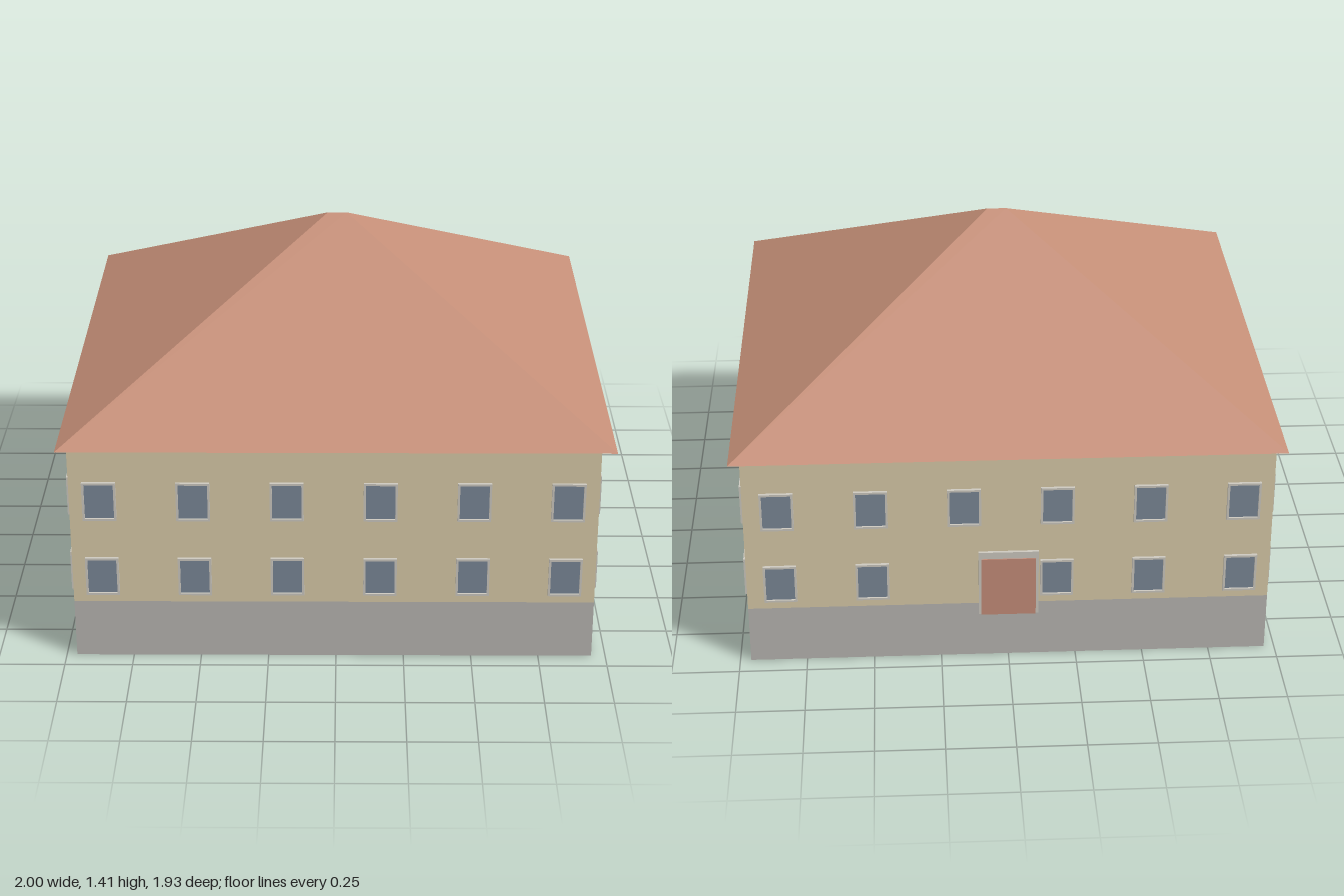
import * as THREE from 'three';

const material = (name, color) => {
  const m = new THREE.MeshStandardMaterial({ color });
  m.name = name;
  return m;
};

export function createModel() {
  const wallMat = material('cream plaster', 0xd8caa8);
  const plinthMat = material('grey plinth', 0xb7b5b1);
  const roofMat = material('terracotta roof', 0xc48e77);
  const glassMat = material('blue grey glass', 0x7a8796);
  const frameMat = material('pale frame', 0xcdc9c0);
  const doorMat = material('red brown door', 0xc48d79);

  const house = new THREE.Group();
  house.name = 'house';
  const add = (parent, name, geometry, mat) => {
    const mesh = new THREE.Mesh(geometry, mat);
    mesh.name = name;
    parent.add(mesh);
    return mesh;
  };

  // Footprint (x, z) with a recess in the +x side
  const xLeft = -0.962, xFront = 0.948, xBack = 0.96, xRecess = 0.843;
  const zFront = 0.928, zBack = -0.928, zStepA = -0.015, zStepB = -0.397;
  const footprint = new THREE.Shape([
    [xLeft, zFront], [xFront, zFront], [xFront, zStepA], [xRecess, zStepA],
    [xRecess, zStepB], [xBack, zStepB], [xBack, zBack], [xLeft, zBack],
  ].map(([x, z]) => new THREE.Vector2(x, -z)));
  const storey = (name, y0, y1, mat) => {
    const g = new THREE.ExtrudeGeometry(footprint, { depth: y1 - y0, bevelEnabled: false });
    g.rotateX(-Math.PI / 2).translate(0, y0, 0);
    add(house, name, g, mat);
  };
  const eaves = 0.855;
  storey('plinth', 0, 0.228, plinthMat);
  storey('walls', 0.228, eaves, wallMat);

  // Hipped roof with a very short ridge and a flat underside
  const rz = 0.963, ridge = 0.036, top = 1.408;
  const [a, b, c, d] = [[-1, eaves, rz], [1, eaves, rz], [1, eaves, -rz], [-1, eaves, -rz]];
  const l = [-ridge, top, 0], r = [ridge, top, 0];
  const roof = new THREE.BufferGeometry();
  roof.setAttribute('position', new THREE.Float32BufferAttribute([
    a, b, r, a, r, l, // front slope
    b, c, r, // right slope
    c, d, l, c, l, r, // back slope
    d, a, l, // left slope
    a, d, c, a, c, b, // underside
  ].flat(), 3));
  roof.computeVertexNormals();
  add(house, 'roof', roof, roofMat);

  // Rectangular frame, facing +z, standing on z = 0
  const frameGeometry = (w, h, t, depth) => {
    const rect = (S, x, y) => new S([
      new THREE.Vector2(-x, -y), new THREE.Vector2(x, -y),
      new THREE.Vector2(x, y), new THREE.Vector2(-x, y),
    ]);
    const s = rect(THREE.Shape, w / 2, h / 2);
    s.holes.push(rect(THREE.Path, w / 2 - t, h / 2 - t));
    return new THREE.ExtrudeGeometry(s, { depth, bevelEnabled: false });
  };
  const windowFrame = frameGeometry(0.122, 0.152, 0.008, 0.011);
  const windowGlass = new THREE.BoxGeometry(0.108, 0.138, 0.004).translate(0, 0, 0.002);

  const rows = [0.336, 0.643];
  const addWindow = (x, y, z, turn) => {
    const g = new THREE.Group();
    g.name = 'window';
    add(g, 'windowFrame', windowFrame, frameMat);
    add(g, 'windowGlass', windowGlass, glassMat);
    g.position.set(x, y, z);
    g.rotation.y = turn;
    house.add(g);
  };

  // Windows on all four sides
  const rightZ = [0.814, 0.454, 0.088, -0.206, -0.505, -0.817];
  rows.forEach((y, row) => {
    for (let i = 0; i < 6; i++) {
      const x = -0.853 + i * 0.338;
      addWindow(x, y, zFront, 0);
      // The entrance takes the place of one lower back window
      if (!(row === 0 && i === 3)) addWindow(x, y, zBack, Math.PI);
      addWindow(xLeft, y, -0.82 + i * 0.33, -Math.PI / 2);
      const z = rightZ[i];
      const wallX = z > zStepA ? xFront : z > zStepB ? xRecess : xBack;
      addWindow(wallX, y, z, Math.PI / 2);
    }
  });

  // Back entrance: door panel with a surround at its top and sides
  const door = new THREE.Group();
  door.name = 'entrance';
  add(door, 'doorPanel', new THREE.BoxGeometry(0.2, 0.24, 0.015).translate(0, 0.305, 0.0075), doorMat);
  add(door, 'doorLintel', new THREE.BoxGeometry(0.22, 0.027, 0.011).translate(0, 0.4385, 0.0055), frameMat);
  for (const side of [-1, 1]) {
    add(door, 'doorJamb', new THREE.BoxGeometry(0.01, 0.24, 0.011).translate(side * 0.105, 0.305, 0.0055), frameMat);
  }
  door.position.set(0, 0, zBack);
  door.rotation.y = Math.PI;
  house.add(door);

  return house;
}
